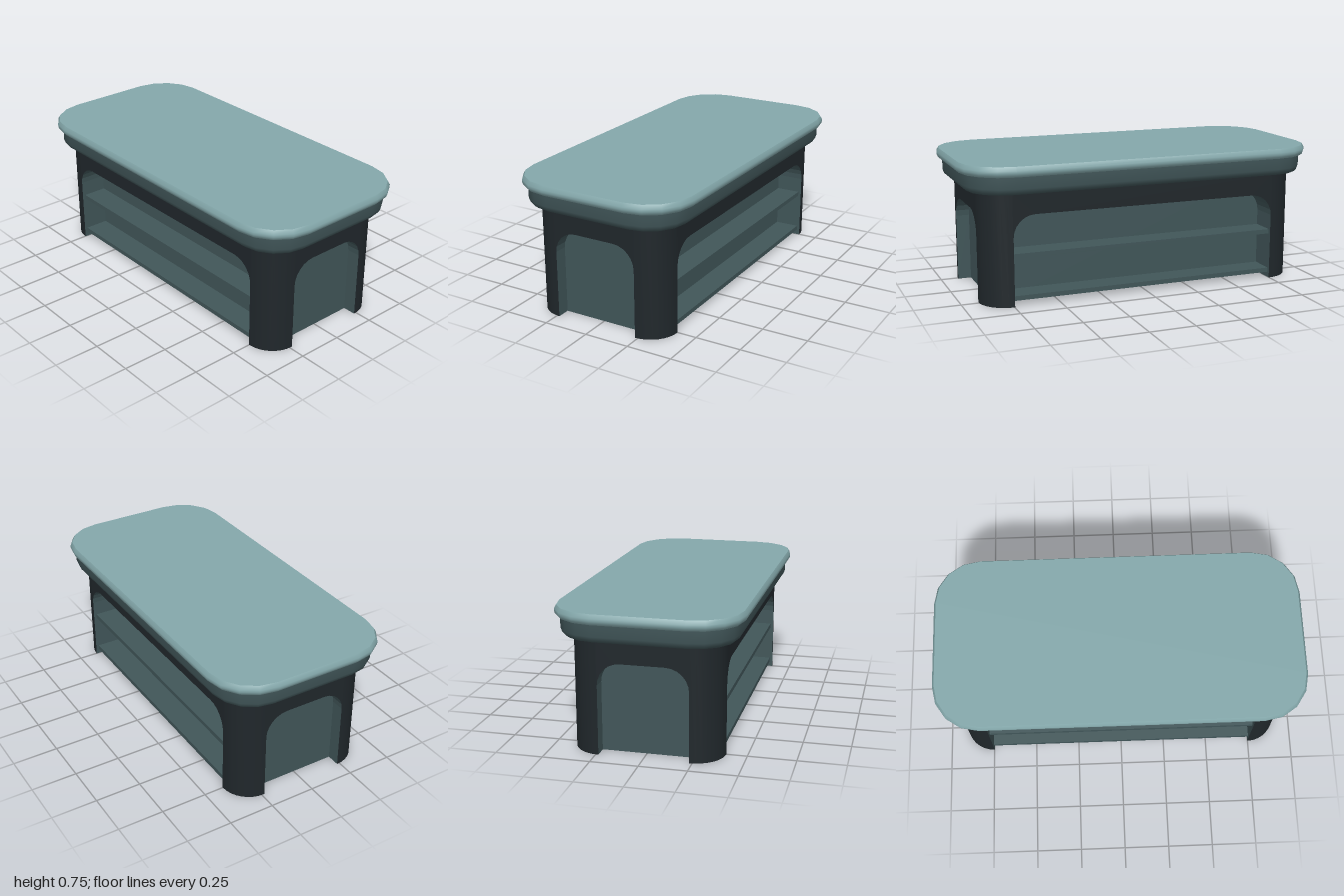
import * as THREE from 'three';
import { toCreasedNormals } from 'three/addons/utils/BufferGeometryUtils.js';

// Corner centres shared by every rounded outline, and the main sizes
const CX = 0.75, CZ = 0.237;
const LEG_R = 0.155, BODY_H = 0.6;
const SIDE_DEPTH = 0.075;

const mat = (color) => new THREE.MeshStandardMaterial({ color });
const topMat = mat(0x84a8ab);
const midMat = mat(0x415659);
const darkMat = mat(0x20272b);

function add(group, name, geometry, material) {
  const mesh = new THREE.Mesh(geometry, material);
  mesh.name = name;
  group.add(mesh);
  return mesh;
}

// Rounded-rectangle rings stacked along a [radius, y] profile, capped at both ends
function roundedSlab(profile, steps = 4) {
  const pos = [], idx = [];
  const corners = [[1, 1], [-1, 1], [-1, -1], [1, -1]];
  const n = corners.length * (steps + 1);
  for (const [r, y] of profile) {
    corners.forEach(([sx, sz], q) => {
      for (let i = 0; i <= steps; i++) {
        const a = (q + i / steps) * Math.PI / 2;
        pos.push(sx * CX + r * Math.cos(a), y, sz * CZ + r * Math.sin(a));
      }
    });
  }
  for (let k = 0; k < profile.length - 1; k++) {
    for (let i = 0; i < n; i++) {
      const j = (i + 1) % n;
      const a = k * n + i, b = k * n + j, c = a + n, d = b + n;
      idx.push(a, c, b, b, c, d);
    }
  }
  const last = (profile.length - 1) * n;
  for (let i = 1; i < n - 1; i++) {
    idx.push(0, i, i + 1);
    idx.push(last, last + i + 1, last + i);
  }
  const g = new THREE.BufferGeometry();
  g.setAttribute('position', new THREE.Float32BufferAttribute(pos, 3));
  g.setIndex(idx);
  return toCreasedNormals(g, 0.65);
}

// Flat wall with an arched opening reaching the floor; slim jambs line the legs
function archFrame(half, depth) {
  const w = half - 0.002, h = 0.487, r = 0.12;
  const s = new THREE.Shape();
  s.moveTo(-half, 0);
  s.lineTo(-w, 0);
  s.lineTo(-w, h - r);
  s.absarc(-w + r, h - r, r, Math.PI, Math.PI / 2, true);
  s.lineTo(w - r, h);
  s.absarc(w - r, h - r, r, Math.PI / 2, 0, true);
  s.lineTo(w, 0);
  s.lineTo(half, 0);
  s.lineTo(half, BODY_H);
  s.lineTo(-half, BODY_H);
  return new THREE.ExtrudeGeometry(s, { depth, bevelEnabled: false, curveSegments: 3 });
}

// Quarter-round corner leg, upright
function legGeometry() {
  const s = new THREE.Shape();
  s.moveTo(0, 0);
  s.lineTo(LEG_R, 0);
  s.absarc(0, 0, LEG_R, 0, Math.PI / 2, false);
  s.lineTo(0, 0);
  const g = new THREE.ExtrudeGeometry(s, { depth: BODY_H, bevelEnabled: false, curveSegments: 4 });
  g.rotateX(-Math.PI / 2);
  return toCreasedNormals(g, 0.6);
}

export function createModel() {
  const model = new THREE.Group();
  model.name = 'counterTable';

  // Table top with bevelled rim, and the skirt below it
  add(model, 'tableTop', roundedSlab([
    [0.236, 0.7], [0.246, 0.71], [0.25, 0.722], [0.25, 0.735], [0.238, 0.755],
  ]), topMat);
  add(model, 'skirt', roundedSlab([
    [0.18, 0.6], [0.2, 0.604], [0.214, 0.616], [0.221, 0.636], [0.221, 0.702],
  ]), midMat);

  // Corner legs: one quarter turn each
  const leg = legGeometry();
  [[1, -1], [-1, -1], [-1, 1], [1, 1]].forEach(([sx, sz], i) => {
    const m = add(model, 'cornerLeg', leg, darkMat);
    m.position.set(sx * CX, 0, sz * CZ);
    m.rotation.y = i * Math.PI / 2;
  });

  // Long sides: arched wall, back panel and two shelves that pass through the panel
  const longFrame = archFrame(CX, LEG_R);
  const longPanel = new THREE.BoxGeometry(2 * CX, BODY_H, 0.012);
  const shelf = new THREE.BoxGeometry(2 * CX - 0.004, 0.025, 0.165);
  for (const turn of [0, Math.PI]) {
    const side = new THREE.Group();
    side.name = turn ? 'backShelving' : 'frontShelving';
    side.rotation.y = turn;
    add(side, 'archedWall', longFrame, [darkMat, midMat]).position.z = CZ;
    add(side, 'shelfBackPanel', longPanel, midMat).position.set(0, BODY_H / 2, CZ - 0.004);
    for (const y of [0.042, 0.268]) add(side, 'shelf', shelf, midMat).position.set(0, y, 0.293);
    model.add(side);
  }

  // Short ends: shallower arched wall over a recessed panel
  const endFrame = archFrame(CZ, SIDE_DEPTH);
  const endPanel = new THREE.BoxGeometry(2 * CZ, BODY_H, 0.012);
  const endX = CX + LEG_R - SIDE_DEPTH;
  for (const s of [1, -1]) {
    const end = new THREE.Group();
    end.name = s > 0 ? 'leftEnd' : 'rightEnd';
    end.rotation.y = s * Math.PI / 2;
    add(end, 'archedWall', endFrame, [darkMat, midMat]).position.z = endX;
    add(end, 'endPanel', endPanel, midMat).position.set(0, BODY_H / 2, endX - 0.004);
    model.add(end);
  }
  return model;
}
